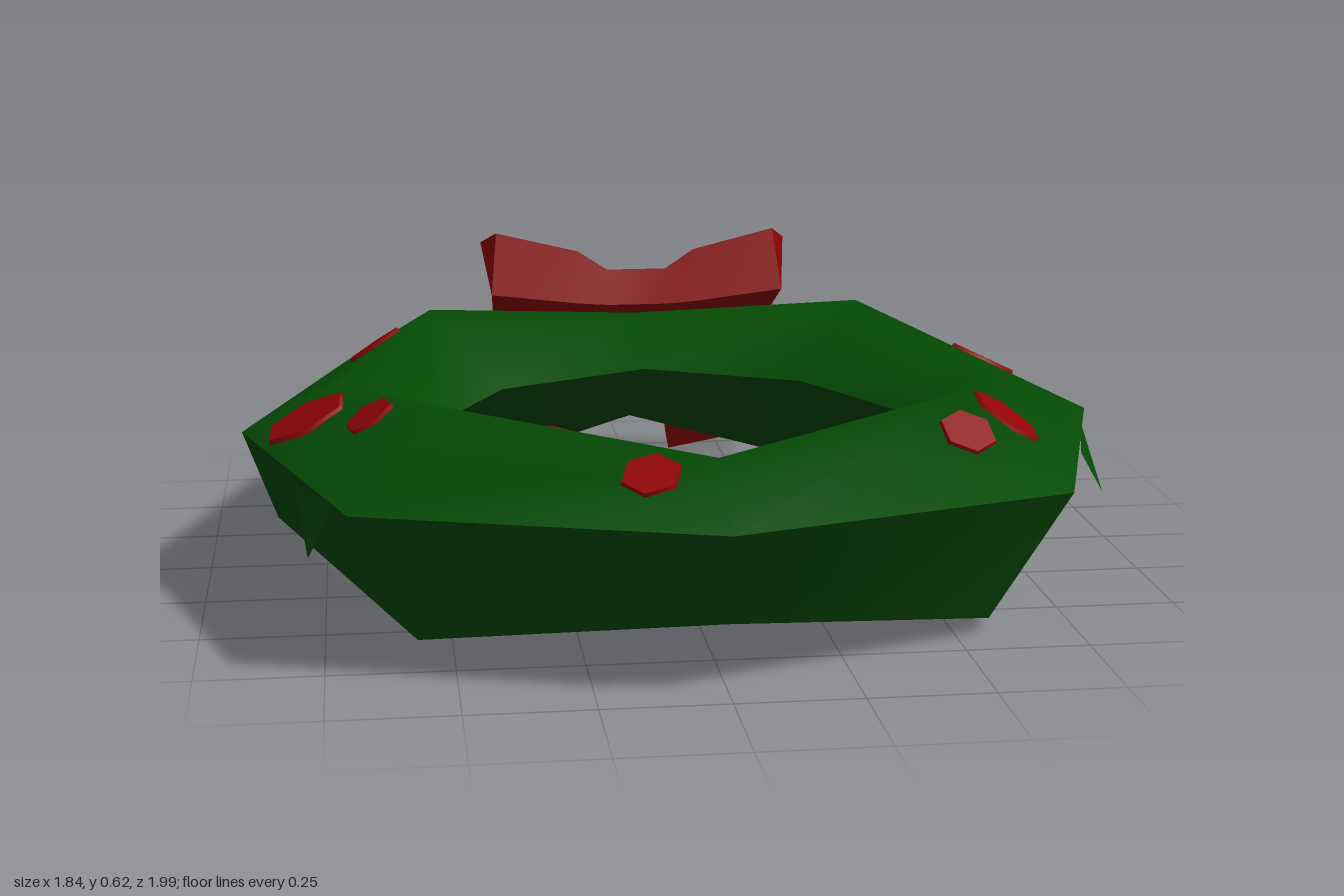
import * as THREE from 'three';
import { toCreasedNormals } from 'three/addons/utils/BufferGeometryUtils.js';

const CENTER_Z = 0.075;

// Skin a row of equal-length cross-sections; ring = true joins last to first, otherwise ends are capped.
function loft(sections, ring, crease) {
  const n = sections[0].length, rows = sections.length, tris = [];
  for (let i = 0; i < (ring ? rows : rows - 1); i++) {
    const a = sections[i], b = sections[(i + 1) % rows];
    for (let j = 0; j < n; j++) {
      const k = (j + 1) % n;
      tris.push([a[j], b[j], b[k]], [a[j], b[k], a[k]]);
    }
  }
  if (!ring) {
    const a = sections[0], b = sections[rows - 1];
    for (let j = 1; j < n - 1; j++) tris.push([a[0], a[j], a[j + 1]], [b[0], b[j + 1], b[j]]);
  }
  // Turn every face outward
  const v = (p) => new THREE.Vector3(...p);
  let volume = 0;
  for (const [p, q, r] of tris) volume += v(p).dot(v(q).cross(v(r)));
  if (volume < 0) tris.forEach((t) => t.reverse());
  const geometry = new THREE.BufferGeometry();
  geometry.setAttribute('position', new THREE.Float32BufferAttribute(tris.flat(2), 3));
  return toCreasedNormals(geometry, crease);
}

export function createModel() {
  const green = new THREE.MeshStandardMaterial({ color: 0x044a04, side: THREE.DoubleSide });
  green.name = 'evergreen';
  const red = new THREE.MeshStandardMaterial({ color: 0x920304 });
  red.name = 'ribbonRed';
  const model = new THREE.Group();
  model.name = 'wreath';
  const add = (name, geometry, material, parent = model) => {
    const mesh = new THREE.Mesh(geometry, material);
    mesh.name = name;
    parent.add(mesh);
    return mesh;
  };

  // Wreath: eight four-sided sections [radius, height], thin and fat in turn
  const thin = [[0.92, 0.32], [0.72, 0.417], [0.52, 0.32], [0.85, 0.13]];
  const fat = [[0.988, 0.32], [0.71, 0.478], [0.488, 0.32], [0.806, 0.03]];
  const sections = [];
  for (let i = 0; i < 8; i++) {
    const a = (i * Math.PI) / 4;
    sections.push((i % 2 ? fat : thin).map(([r, y]) => [r * Math.sin(a), y, CENTER_Z + r * Math.cos(a)]));
  }
  const ring = add('wreathRing', loft(sections, true, 1.25), green);
  ring.updateMatrixWorld(true);

  // Berries: thin six-sided plates set into the upper surface [x, z, radius]
  const berries = new THREE.Group();
  berries.name = 'berries';
  model.add(berries);
  const ray = new THREE.Raycaster();
  const up = new THREE.Vector3(0, 1, 0);
  [
    [-0.63, -0.43, 0.076], [0.68, -0.36, 0.049], [0.74, -0.285, 0.028], [0.74, -0.14, 0.088],
    [-0.78, 0.21, 0.098], [-0.65, 0.4, 0.056], [-0.27, 0.59, 0.08], [-0.13, 0.81, 0.062],
    [0.63, 0.5, 0.084], [0.51, 0.67, 0.06],
  ].forEach(([x, z, r], i) => {
    ray.set(new THREE.Vector3(x, 2, z), new THREE.Vector3(0, -1, 0));
    const hit = ray.intersectObject(ring)[0];
    const berry = add('berry', new THREE.CylinderGeometry(r * 0.95, r, 0.009, 6), red, berries);
    berry.position.copy(hit.point).addScaledVector(hit.face.normal, 0.003);
    berry.quaternion.setFromUnitVectors(up, hit.face.normal);
    berry.rotateY(i * 1.3);
  });

  // Stray leaf points hanging off the outer rim
  const leaves = new THREE.Group();
  leaves.name = 'leaves';
  model.add(leaves);
  [
    [[0.88, 0.32, 0.18], [0.8, 0.32, 0.47], [0.855, 0.23, 0.445]],
    [[0.84, 0.31, -0.16], [0.79, 0.32, -0.3], [0.82, 0.17, -0.22]],
    [[0.79, 0.3, -0.27], [0.77, 0.28, -0.36], [0.79, 0.14, -0.31]],
    [[-0.81, 0.32, 0.38], [-0.72, 0.32, 0.68], [-0.78, 0.17, 0.53]],
    [[-0.8, 0.32, -0.28], [-0.73, 0.32, -0.5], [-0.78, 0.17, -0.38]],
    [[-0.48, 0.28, 0.82], [-0.34, 0.26, 0.85], [-0.4, 0.16, 0.8]],
  ].forEach((points) => {
    const g = new THREE.BufferGeometry();
    g.setAttribute('position', new THREE.Float32BufferAttribute(points.flat(), 3));
    g.computeVertexNormals();
    add('leaf', g, green, leaves);
  });

  // Bow: tilted loops, pinched at the knot; half sections mirrored across x
  const half = [
    [[0.07, 0.45, -0.58], [0.07, 0.53, -0.615], [0.07, 0.515, -0.65], [0.07, 0.44, -0.75], [0.07, 0.39, -0.72]],
    [[0.14, 0.455, -0.58], [0.14, 0.575, -0.62], [0.14, 0.55, -0.665], [0.13, 0.45, -0.8], [0.13, 0.38, -0.745]],
    [[0.35, 0.48, -0.58], [0.335, 0.62, -0.635], [0.37, 0.59, -0.69], [0.335, 0.465, -0.865], [0.335, 0.36, -0.79]],
  ];
  const mirror = (s) => s.map(([x, y, z]) => [-x, y, z]);
  add('bowLoops', loft([...half.map(mirror).reverse(), ...half], false, 1.0), red);

  // Ribbon tails: start under the knot, bend over the rim and hang down
  for (const side of [1, -1]) {
    const tail = [
      [[0.01, 0.42, -0.74], [0.1, 0.43, -0.74], [0.1, 0.37, -0.72], [0.01, 0.36, -0.72]],
      [[0.07, 0.335, -0.93], [0.21, 0.37, -0.88], [0.21, 0.33, -0.83], [0.08, 0.3, -0.88]],
      [[0.12, 0.02, -0.998], [0.33, 0.07, -0.955], [0.33, 0.05, -0.9], [0.12, 0, -0.945]],
    ].map((s) => s.map(([x, y, z]) => [x * side, y, z]));
    add(side > 0 ? 'leftRibbonTail' : 'rightRibbonTail', loft(tail, false, 1.2), red);
  }
  return model;
}
